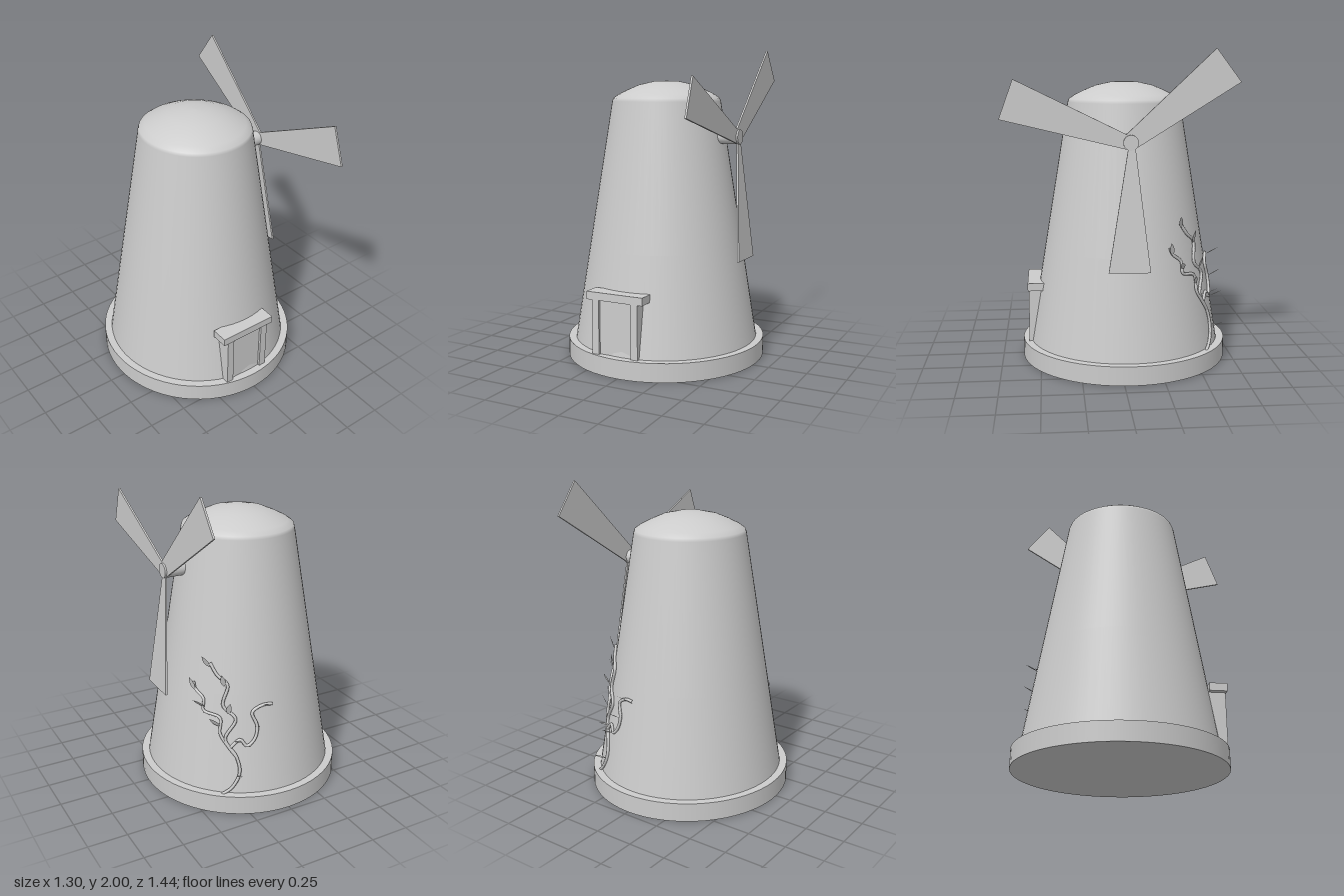
import * as THREE from 'three';

const CZ = -0.052, SZ = 1.03; // tower centre and slight stretch along z

export function createModel() {
  const model = new THREE.Group();
  model.name = 'windmill';
  const grey = new THREE.MeshStandardMaterial({ color: 0xcccccc });
  const thin = new THREE.MeshStandardMaterial({ color: 0xcccccc, side: THREE.DoubleSide });

  const add = (name, geometry, parent = model, material = grey) => {
    const mesh = new THREE.Mesh(geometry, material);
    mesh.name = name;
    parent.add(mesh);
    return mesh;
  };
  const box = (name, x0, x1, y0, y1, z0, z1, parent) =>
    add(name, new THREE.BoxGeometry(x1 - x0, y1 - y0, z1 - z0), parent)
      .position.set((x0 + x1) / 2, (y0 + y1) / 2, (z0 + z1) / 2);

  // Round plinth and tapered tower with a domed cap
  const building = new THREE.Group();
  building.name = 'building';
  building.position.z = CZ;
  building.scale.z = SZ;
  model.add(building);
  add('plinth', new THREE.CylinderGeometry(0.648, 0.648, 0.12, 64), building).position.y = 0.06;
  const profile = [[0.603, 0.1], [0.5, 0.745], [0.352, 1.67], [0.345, 1.69], [0.31, 1.715],
    [0.25, 1.745], [0.175, 1.777], [0.08, 1.798], [0, 1.801]];
  add('tower', new THREE.LatheGeometry(profile.map(p => new THREE.Vector2(...p)), 64), building);

  // Doorway
  const door = new THREE.Group();
  door.name = 'doorway';
  model.add(door);
  box('doorPanel', -0.16, 0.08, 0.12, 0.47, 0.46, 0.56, door);
  box('leftPost', 0.07, 0.118, 0.12, 0.47, 0.46, 0.576, door);
  box('rightPost', -0.2, -0.152, 0.12, 0.47, 0.46, 0.576, door);
  box('lintel', -0.235, 0.155, 0.465, 0.515, 0.47, 0.582, door);

  // Hub on the tower's left side
  const HY = 1.45, HZ = -0.047;
  const hub = add('hub', new THREE.CylinderGeometry(0.046, 0.046, 0.14, 32));
  hub.rotation.z = Math.PI / 2;
  hub.position.set(0.45, HY, HZ);

  // Three flat sails, outlined by [z, y] corners; the lowest leans outward
  const sails = [
    [[-0.005, 1.485], [-0.55, 2.0], [-0.7, 1.803], [-0.085, 1.42]],
    [[-0.03, 1.495], [0.64, 1.822], [0.725, 1.59], [-0.03, 1.408]],
    [[-0.03, 1.41], [0.09, 0.675], [-0.163, 0.672], [-0.075, 1.41]],
  ];
  sails.forEach((corners, i) => {
    const shape = new THREE.Shape(corners.map(([z, y]) => new THREE.Vector2(HZ - z, y - HY)));
    const geometry = new THREE.ExtrudeGeometry(shape, { depth: 0.012, bevelEnabled: false });
    geometry.rotateY(Math.PI / 2);
    const sail = add('sail', geometry);
    sail.position.set(0.497, HY, HZ);
    if (i === 2) sail.rotation.z = 0.085;
  });

  // Ivy: points are [degrees from +x towards the back, height] on the tower wall
  const ivy = new THREE.Group();
  ivy.name = 'ivy';
  model.add(ivy);
  const onWall = (deg, y, off = 0.01) => {
    const a = THREE.MathUtils.degToRad(deg), r = 0.6 - 0.16 * (y - 0.12) + off;
    return new THREE.Vector3(r * Math.cos(a), y, CZ - SZ * r * Math.sin(a));
  };
  const vines = [
    [[51, 0.11], [57, 0.16], [61.5, 0.255], [59.6, 0.36], [52.5, 0.47], [59, 0.6], [50.5, 0.68],
      [53.3, 0.81], [45.8, 0.865], [40, 0.935]],
    [[59.6, 0.36], [54, 0.43], [49, 0.505], [48.8, 0.6], [37, 0.635], [36.7, 0.705], [29.6, 0.76], [28, 0.8]],
    [[56, 0.42], [62, 0.47], [66, 0.43], [71, 0.47], [73, 0.55], [70, 0.64], [77, 0.68], [84, 0.68]],
  ];
  for (const points of vines) {
    const curve = new THREE.CatmullRomCurve3(points.map(p => onWall(...p)));
    add('vine', new THREE.TubeGeometry(curve, points.length * 6, 0.01, 6), ivy);
  }

  // Pointed leaves: [degrees, height, then growth along the wall, up and outward]
  const outline = new THREE.Shape();
  outline.moveTo(0, 0);
  outline.quadraticCurveTo(0.034, 0.035, 0, 0.09);
  outline.quadraticCurveTo(-0.034, 0.035, 0, 0);
  const leafGeometry = new THREE.ShapeGeometry(outline, 4);
  const leaves = [
    [29.6, 0.75, -0.3, 1, 0.2], [40, 0.91, -0.4, 0.8, 0.3], [51, 0.8, -0.1, 1, 0.3],
    [54, 0.63, 0.2, 1, 0.3], [78, 0.68, 0, 0.6, 1], [59, 0.46, 0.5, 0.5, 1],
    [61, 0.24, 0.2, 0.5, 1], [66, 0.43, 0.1, 0.5, 1], [38, 0.66, -0.6, 0.5, 0.4],
    [49, 0.55, -0.6, 0.6, 0.3], [72, 0.55, 0.2, 0.6, 1],
  ];
  for (const [deg, y, along, up, outward] of leaves) {
    const a = THREE.MathUtils.degToRad(deg);
    const out = new THREE.Vector3(Math.cos(a), 0, -Math.sin(a));
    const tangent = new THREE.Vector3(-Math.sin(a), 0, -Math.cos(a));
    const dir = out.clone().multiplyScalar(outward).addScaledVector(tangent, along);
    dir.y += up;
    dir.normalize();
    const side = tangent.addScaledVector(dir, -tangent.dot(dir)).normalize();
    const normal = new THREE.Vector3().crossVectors(side, dir);
    const leaf = add('leaf', leafGeometry, ivy, thin);
    leaf.quaternion.setFromRotationMatrix(new THREE.Matrix4().makeBasis(side, dir, normal));
    leaf.position.copy(onWall(deg, y, 0.015));
  }
  return model;
}
